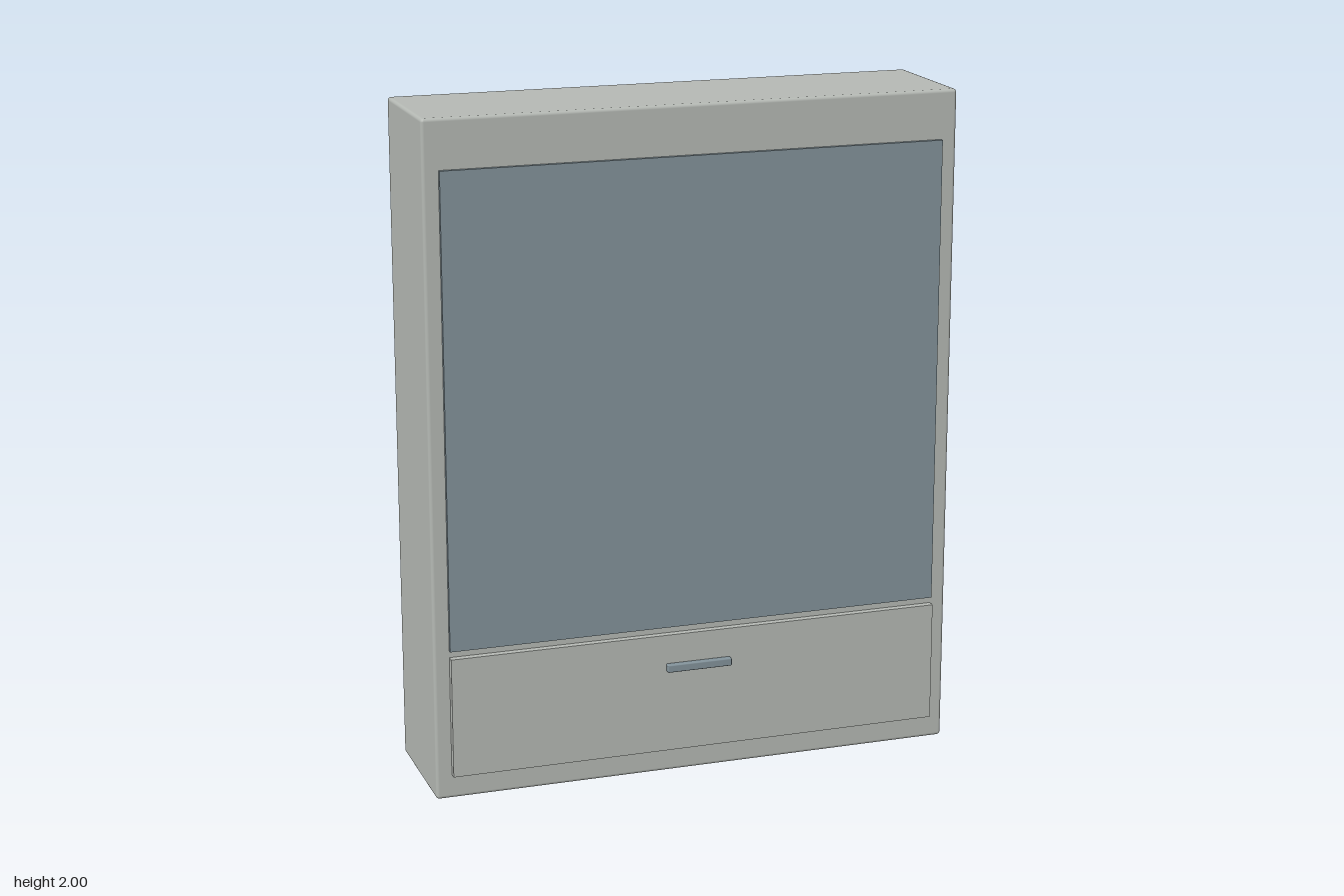
import * as THREE from 'three';
import { RoundedBoxGeometry } from 'three/addons/geometries/RoundedBoxGeometry.js';

export function createModel() {
  const group = new THREE.Group();
  const grey = new THREE.MeshStandardMaterial({ color: 0xb4b8b3 });
  grey.name = 'warm grey';
  const glass = new THREE.MeshStandardMaterial({ color: 0x82929a });
  glass.name = 'blue grey';

  // Place a box by its minimum and maximum corners, with optional rounded edges
  function addBox(name, material, min, max, radius = 0) {
    const size = max.map((v, i) => v - min[i]);
    const geometry = radius
      ? new RoundedBoxGeometry(...size, 2, radius)
      : new THREE.BoxGeometry(...size);
    const mesh = new THREE.Mesh(geometry, material);
    mesh.name = name;
    mesh.position.set(...max.map((v, i) => (v + min[i]) / 2));
    group.add(mesh);
  }

  // Cabinet body with softened edges
  addBox('cabinet', grey, [-0.797, 0, -0.218], [0.797, 2, 0.178], 0.01);
  // Large front panel
  addBox('frontPanel', glass, [-0.75, 0.455, 0.17], [0.75, 1.855, 0.19]);
  // Drawer front below it, with its pull
  addBox('drawerFront', grey, [-0.75, 0.073, 0.17], [0.75, 0.435, 0.2]);
  addBox('drawerHandle', glass, [-0.1, 0.323, 0.198], [0.1, 0.347, 0.218], 0.004);

  return group;
}
